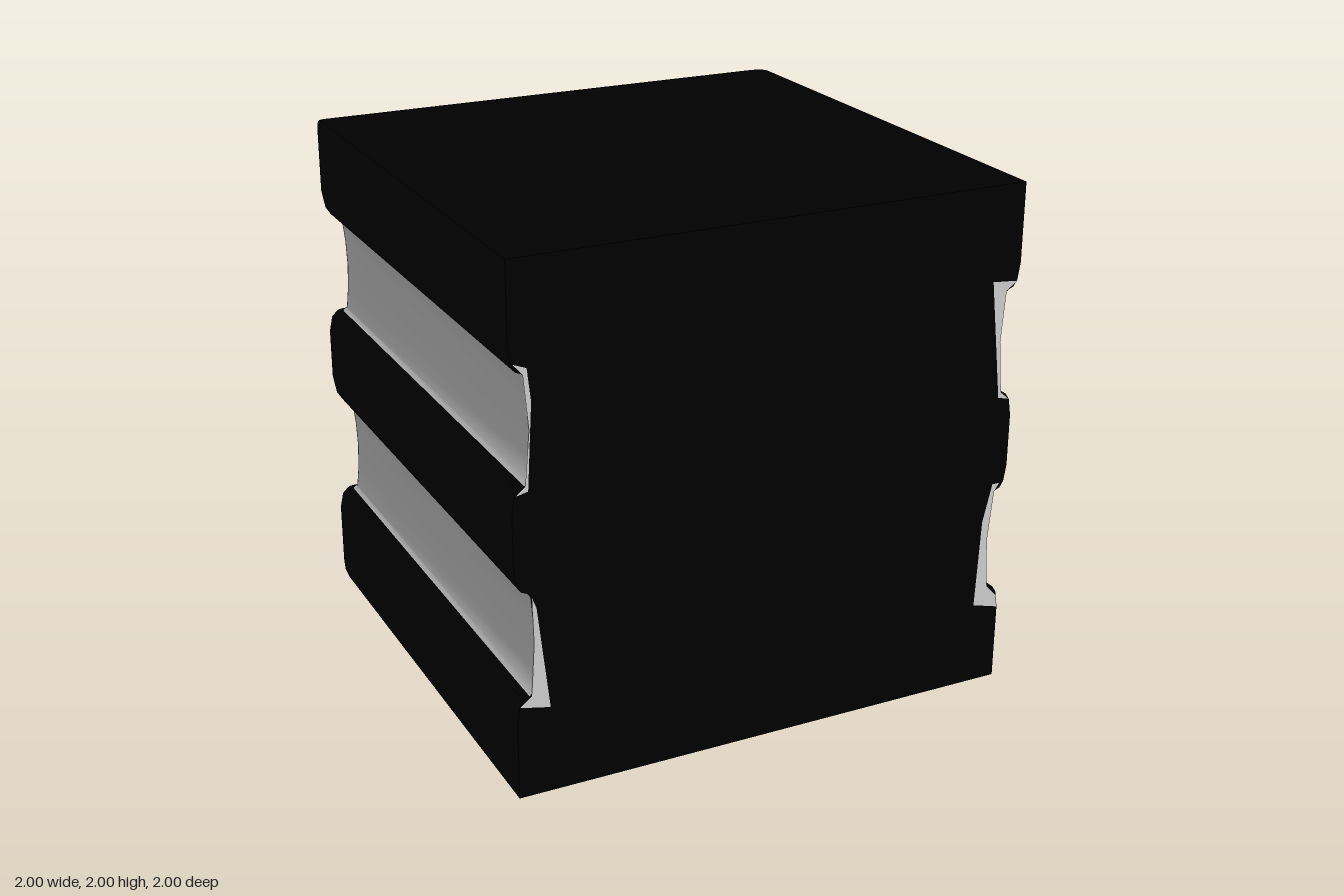
import * as THREE from 'three';
import { toCreasedNormals } from 'three/addons/utils/BufferGeometryUtils.js';

const FRONT = 0.998;

// Three-sided ring (right, back, left) with rounded back corners
function ring(y, inset, backInset) {
  const r = 0.04, x = 1 - inset, z = -(1 - backInset), half = [];
  half.push([x, FRONT]);
  for (let k = 0; k <= 4; k++) {
    const a = (k / 4) * Math.PI / 2;
    half.push([x - r + r * Math.cos(a), z + r - r * Math.sin(a)]);
  }
  const mirrored = half.map(([px, pz]) => [-px, pz]).reverse();
  return [...half, ...mirrored].map(([px, pz]) => [px, y, pz]);
}

// Skin over a bottom-to-top profile of [y, side inset, back inset]
function loft(profile, capBottom, capTop) {
  const rings = profile.map(([y, i, b = i]) => ring(y, i, b));
  const n = rings[0].length, index = [];
  for (let r = 0; r < rings.length - 1; r++) {
    for (let j = 0; j < n - 1; j++) {
      const a = r * n + j, d = a + n;
      index.push(a, a + 1, d + 1, a, d + 1, d);
    }
  }
  const top = (rings.length - 1) * n;
  for (let j = 1; j < n - 1; j++) {
    if (capBottom) index.push(0, j + 1, j);
    if (capTop) index.push(top, top + j, top + j + 1);
  }
  const g = new THREE.BufferGeometry();
  g.setAttribute('position', new THREE.Float32BufferAttribute(rings.flat(2), 3));
  g.setIndex(index);
  return toCreasedNormals(g, 0.6);
}

function flat(points, z) {
  const g = new THREE.ShapeGeometry(new THREE.Shape(points.map(([x, y]) => new THREE.Vector2(x, y))));
  return g.translate(0, 0, z);
}

export function createModel() {
  const group = new THREE.Group();
  const black = new THREE.MeshStandardMaterial({ color: 0x000000, side: THREE.DoubleSide });
  const grey = new THREE.MeshStandardMaterial({ color: 0xcccccc, side: THREE.DoubleSide });
  const add = (name, geometry, material) => {
    const mesh = new THREE.Mesh(geometry, material);
    mesh.name = name;
    group.add(mesh);
  };

  // Band lip rising to full width, and its reverse
  const lip = [[0, 0.048], [0.01, 0.025], [0.035, 0.01], [0.1, 0]];
  const rise = y => lip.map(([d, i]) => [y + d, i]);
  const fall = y => lip.map(([d, i]) => [y - d, i]).reverse();
  const groove = y => [[0, 0.048], [0.015, 0.06], [0.1, 0.067], [0.2, 0.07],
    [0.3, 0.067], [0.385, 0.06], [0.4, 0.048]].map(([d, i]) => [y + d, i]);

  const bottom = [[0, 0, 0.06], [0.012, 0, 0.012], [0.05, 0, 0], ...fall(0.4)];
  const middle = [...rise(0.8), ...fall(1.2)];
  const top = [...rise(1.6), [1.95, 0, 0], [1.988, 0, 0.012], [2, 0, 0.06]];

  // Stacked black bands with hollow grey grooves between them
  add('bottomBand', loft(bottom, true, false), black);
  add('lowerGroove', loft(groove(0.4), false, false), grey);
  add('middleBand', loft(middle, false, false), black);
  add('upperGroove', loft(groove(1.2), false, false), grey);
  add('topBand', loft(top, false, true), black);

  // Flat front face following the banded outline
  const edge = [...bottom, ...groove(0.4).slice(1, -1), ...middle, ...groove(1.2).slice(1, -1), ...top]
    .map(([y, i]) => [1 - i, y]);
  add('frontFace', flat([...edge, ...edge.map(([x, y]) => [-x, y]).reverse()], FRONT), black);

  // Uneven grey chips where the grooves meet the front
  const chips = {
    upperLeftChip: [[0.885, 1.64], [0.99, 1.63], [0.945, 1.6], [0.932, 1.4], [0.95, 1.2], [0.985, 1.17], [0.94, 1.18]],
    upperRightChip: [[-0.985, 1.64], [-0.935, 1.62], [-0.922, 1.5], [-0.94, 1.18], [-0.985, 1.17],
      [-0.95, 1.2], [-0.932, 1.4], [-0.95, 1.6]],
    lowerLeftChip: [[0.97, 0.83], [0.94, 0.83], [0.905, 0.68], [0.89, 0.33], [0.998, 0.3], [0.99, 0.35],
      [0.945, 0.4], [0.932, 0.6], [0.95, 0.8]],
    lowerRightChip: [[-0.935, 0.78], [-0.92, 0.74], [-0.875, 0.34], [-0.99, 0.365], [-0.945, 0.4], [-0.932, 0.6]],
  };
  for (const [name, points] of Object.entries(chips)) add(name, flat(points, 1), grey);

  return group;
}
